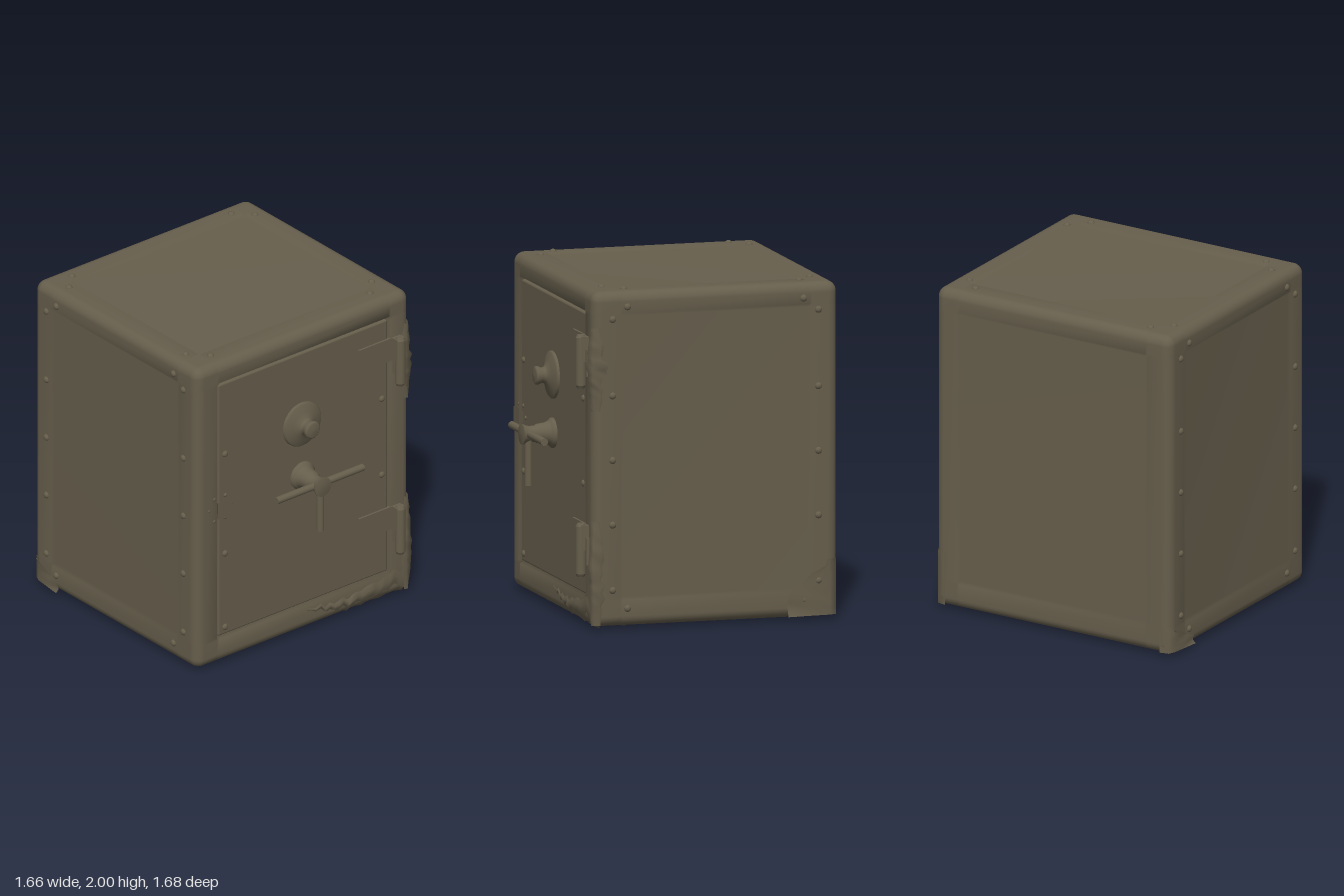
import * as THREE from 'three';
import { mergeVertices } from 'three/addons/utils/BufferGeometryUtils.js';
import { RoundedBoxGeometry } from 'three/addons/geometries/RoundedBoxGeometry.js';

export function createModel() {
  const safe = new THREE.Group();
  safe.name = 'safe';
  const metal = new THREE.MeshStandardMaterial({ color: 0x665e4c, side: THREE.DoubleSide });
  metal.name = 'olive brown metal';

  const add = (name, geometry, x = 0, y = 0, z = 0, parent = safe) => {
    const mesh = new THREE.Mesh(geometry, metal);
    mesh.name = name;
    mesh.position.set(x, y, z);
    parent.add(mesh);
    return mesh;
  };

  let seed = 11;
  const random = () => (seed = (seed * 16807) % 2147483647) / 2147483647;

  // Body: a box grid remapped to rounded edges and recessed panels
  const lo = [-0.81, 0.02, -0.84], hi = [0.8, 1.99, 0.65];
  const panelLo = [-0.655, 0.175, -0.68], panelHi = [0.65, 1.865, 0.485];
  const r = 0.06, bevel = 0.018;
  const lines = lo.map((a, k) => [
    a, a + r * 0.4, a + r * 0.73, a + r, panelLo[k], panelLo[k] + bevel,
    panelHi[k] - bevel, panelHi[k], hi[k] - r, hi[k] - r * 0.73, hi[k] - r * 0.4, hi[k],
  ]);
  let body = new THREE.BoxGeometry(11, 11, 11, 11, 11, 11);
  body.deleteAttribute('uv');
  body.deleteAttribute('normal');
  body = mergeVertices(body, 0.01);
  body.clearGroups();
  const pos = body.attributes.position;
  for (let i = 0; i < pos.count; i++) {
    const idx = [pos.getX(i), pos.getY(i), pos.getZ(i)].map((v) => Math.round(v + 5.5));
    const p = new THREE.Vector3(...idx.map((n, k) => lines[k][n]));
    const core = new THREE.Vector3(...idx.map((n, k) => Math.min(Math.max(lines[k][n], lo[k] + r), hi[k] - r)));
    p.sub(core).setLength(r).add(core);
    for (let k = 0; k < 3; k++) {
      const inside = [0, 1, 2].every((j) => j === k || idx[j] === 5 || idx[j] === 6);
      const depth = k === 2 && idx[k] === 11 ? 0.03 : 0.014;
      if (inside && idx[k] === 11) p.setComponent(k, p.getComponent(k) - depth);
      if (inside && idx[k] === 0) p.setComponent(k, p.getComponent(k) + depth);
    }
    pos.setXYZ(i, p.x, p.y, p.z);
  }
  body.computeVertexNormals();
  add('body', body);

  // Door sitting in the front recess
  add('door', new RoundedBoxGeometry(1.275, 1.655, 0.06, 3, 0.012), -0.003, 1.02, 0.613);

  // Domed rivets on the body and door
  const dome = new THREE.SphereGeometry(0.021, 12, 5, 0, Math.PI * 2, 0, Math.PI / 2);
  dome.scale(1, 0.75, 1);
  const up = new THREE.Vector3(0, 1, 0);
  const rivet = (x, y, z, nx, ny, nz, size = 1) => {
    const m = add('rivet', dome, x, y, z);
    m.quaternion.setFromUnitVectors(up, new THREE.Vector3(nx, ny, nz));
    m.scale.setScalar(size);
  };
  for (const s of [-1, 1]) {
    const x = s > 0 ? 0.799 : -0.809;
    for (const z of [0.53, -0.72]) for (const y of [1.83, 1.38, 1.0, 0.62, 0.235]) rivet(x, y, z, s, 0, 0);
    for (const z of [0.44, -0.63]) for (const y of [1.9, 0.125]) rivet(x, y, z, s, 0, 0);
    for (const ny of [-1, 1]) {
      const y = ny > 0 ? 1.988 : 0.022;
      for (const z of [-0.73, 0.535]) rivet(s * 0.6 - 0.01, y, z, 0, ny, 0);
      for (const z of [-0.635, 0.43]) rivet(s * 0.7 - 0.01, y, z, 0, ny, 0);
    }
  }
  for (const [x, y] of [[-0.59, 1.38], [-0.59, 0.725], [-0.59, 0.24], [0.59, 1.34], [0.59, 0.84]]) {
    rivet(x, y, 0.641, 0, 0, 1);
  }

  // Turned parts face forward along z; profile points are [radius, z]
  const turned = (name, profile, x, y, parent = safe) => {
    const g = new THREE.LatheGeometry(profile.map(([a, b]) => new THREE.Vector2(a, b)), 32);
    g.rotateX(Math.PI / 2);
    return add(name, g, x, y, 0, parent);
  };

  // Combination dial
  turned('dial', [[0.14, 0.64], [0.14, 0.654], [0.132, 0.662], [0.09, 0.676], [0.06, 0.688],
    [0.047, 0.7], [0.045, 0.715], [0.055, 0.738], [0.053, 0.75], [0.042, 0.757], [0, 0.76]], -0.015, 1.383);

  // Three-spoke handle
  const handle = new THREE.Group();
  handle.name = 'handle';
  safe.add(handle);
  turned('handleHub', [[0.088, 0.64], [0.088, 0.656], [0.075, 0.668], [0.07, 0.676], [0.062, 0.7],
    [0.056, 0.745], [0.048, 0.755], [0.046, 0.785], [0.05, 0.81], [0.06, 0.828], [0.06, 0.838], [0, 0.84]], -0.01, 1.042, handle);
  const spoke = (len) => new THREE.CylinderGeometry(0.022, 0.022, len, 16);
  add('handleBar', spoke(0.65), -0.005, 1.045, 0.797, handle).rotation.z = Math.PI / 2;
  add('handleSpoke', spoke(0.3), 0, 0.89, 0.797, handle);

  // Hinges: barrel with caps, leaf on the door, wrap to the barrel
  for (const [y, leafY] of [[1.575, 1.648], [0.465, 0.538]]) {
    const hinge = new THREE.Group();
    hinge.name = 'hinge';
    safe.add(hinge);
    add('hingeBarrel', new THREE.CylinderGeometry(0.031, 0.031, 0.28, 20), 0.69, y, 0.69, hinge);
    for (const s of [-1, 1]) {
      add('hingeCap', new THREE.CylinderGeometry(s > 0 ? 0.022 : 0.031, s > 0 ? 0.031 : 0.022, 0.018, 20), 0.69, y + s * 0.148, 0.69, hinge);
    }
    add('hingeLeaf', new THREE.BoxGeometry(0.28, 0.148, 0.02), 0.55, leafY, 0.646, hinge);
    add('hingeWrap', new THREE.BoxGeometry(0.062, 0.148, 0.06), 0.69, leafY, 0.668, hinge);
    add('hingeBracket', new THREE.BoxGeometry(0.07, 0.16, 0.03), 0.7, leafY - 0.08, 0.655, hinge);
  }

  // Small lock plate with flared sides and tiny rivets
  const plate = new THREE.CylinderGeometry(0.078, 0.045, 0.035, 4, 1);
  plate.rotateY(Math.PI / 4).rotateX(Math.PI / 2);
  const flat = plate.toNonIndexed();
  flat.computeVertexNormals();
  add('lockPlate', flat, -0.62, 1.043, 0.664);
  for (const [x, y] of [[-0.715, 1.045], [-0.545, 1.045], [-0.675, 1.11], [-0.59, 1.11], [-0.677, 0.965], [-0.59, 0.965]]) {
    rivet(x, y, 0.645, 0, 0, 1, 0.6);
  }

  // Crumpled sheets: a grid skinned over rows of points
  const sheet = (name, rows) => {
    const w = rows[0].length, index = [];
    for (let i = 0; i < rows.length - 1; i++) {
      for (let j = 0; j < w - 1; j++) {
        const a = i * w + j;
        index.push(a, a + 1, a + w, a + 1, a + w + 1, a + w);
      }
    }
    const g = new THREE.BufferGeometry();
    g.setAttribute('position', new THREE.Float32BufferAttribute(rows.flat(2), 3));
    g.setIndex(index);
    g.computeVertexNormals();
    add(name, g);
  };

  // Torn metal wrapping the hinge-side front edge
  const tornEdge = (y0, y1, width) => {
    const rows = [];
    for (let i = 0; i <= 16; i++) {
      const t = i / 16, y = y0 + (y1 - y0) * t, swell = Math.sin(Math.PI * t);
      const w = 0.045 + width * swell * (0.5 + 0.5 * random());
      const d = 0.025 + 0.06 * swell * random();
      rows.push([[0.8 - w, y, 0.648], [0.8 - w * 0.5, y, 0.655 + 0.018 * swell * random()],
        [0.79 + 0.022 * swell * random(), y, 0.64 + 0.012 * swell],
        [0.801 + 0.018 * swell * random(), y, 0.63 - d * 0.5], [0.798, y, 0.63 - d]]);
    }
    sheet('tornEdge', rows);
  };
  tornEdge(1.29, 1.78, 0.09);
  tornEdge(0.03, 0.64, 0.05);

  // Buckled strip along the bottom front edge
  const strip = [];
  for (let i = 0; i <= 22; i++) {
    const t = i / 22, x = 0.02 + 0.76 * t, swell = Math.sin(Math.PI * Math.min(1, t * 1.05));
    const top = 0.155 - 0.05 * Math.sin(t * 5) * random();
    const low = top - 0.012 - 0.1 * t;
    strip.push([[x, top, 0.648], [x, (top + low) / 2, 0.652 + 0.022 * swell * random()],
      [x, low, 0.65 + 0.014 * swell * random()], [x, Math.max(0.025, low - 0.03), 0.636],
      [x, t > 0.5 ? 0.005 + 0.012 * random() : 0.03, 0.6]]);
  }
  sheet('buckledStrip', strip);

  // Dented metal on the lower back corners
  const dent = (side, face, reach, height) => {
    const rows = [];
    for (let i = 0; i <= 8; i++) {
      const t = i / 8, y = 0.03 + height * t;
      const front = -0.83 + reach * (t < 0.5 ? 1 : Math.max(0.08, 1.7 - 1.5 * t - 0.2 * random()));
      const puff = 0.012 * (1 - t) + 0.006 * random();
      rows.push([[side * (face + 0.006 + 0.02 * (1 - t) * (i % 3 === 0 ? 1 : 0.2)), y, front],
        [side * (face + puff), y, (front - 0.79) / 2], [side * (face + 0.003), y, -0.79],
        [side * (face - 0.015), y, -0.83], [side * (face - 0.07), y, -0.841]]);
    }
    sheet('cornerDent', rows);
  };
  dent(1, 0.8, 0.3, 0.33);
  dent(-1, 0.81, 0.23, 0.14);

  return safe;
}
